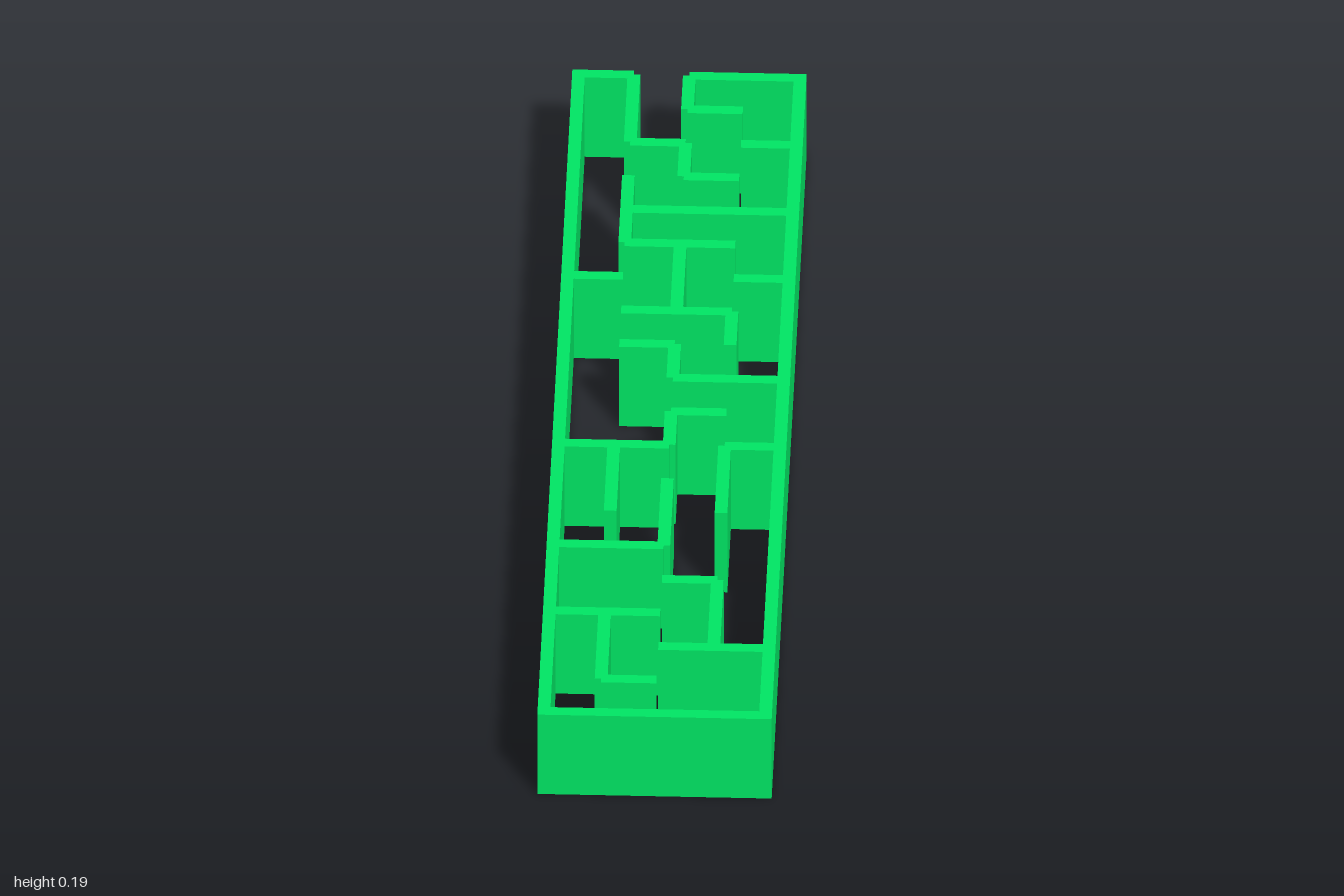
import * as THREE from 'three';

const PITCH = 0.104, WALL = 0.024, HEIGHT = 0.187;
const COLS = 4, ROWS = 19;

// Walls running across: [row, first column, last column]
const ACROSS = [
  [0, 0, 1], [0, 2, 4], [1, 2, 3], [2, 1, 2], [2, 3, 4], [3, 2, 3], [4, 1, 4],
  [5, 1, 3], [6, 0, 1], [6, 3, 4], [7, 1, 3], [8, 1, 2], [9, 2, 4], [10, 2, 3],
  [11, 0, 2], [11, 3, 4], [14, 0, 2], [15, 2, 3], [16, 0, 2], [17, 2, 4],
  [18, 1, 2], [19, 0, 4],
];

// Walls running lengthwise: [column, first row, last row]
const ALONG = [
  [0, 0, 19], [4, 0, 19],
  [1, 0, 2], [1, 3, 5], [1, 11, 13], [1, 16, 18],
  [2, 0, 1], [2, 2, 3], [2, 5, 7], [2, 8, 9], [2, 10, 11], [2, 12, 14],
  [3, 7, 8], [3, 11, 13], [3, 15, 17],
];

export function createModel() {
  const maze = new THREE.Group();
  maze.name = 'maze';
  const green = new THREE.MeshStandardMaterial({ color: 0x00e664 });
  green.name = 'brightGreen';

  const gridX = (c) => (c - COLS / 2) * PITCH;
  const gridZ = (r) => (r - ROWS / 2) * PITCH;

  function addWall(name, width, depth, x, z) {
    const wall = new THREE.Mesh(new THREE.BoxGeometry(width, HEIGHT, depth), green);
    wall.position.set(x, HEIGHT / 2, z);
    wall.name = name;
    maze.add(wall);
  }

  for (const [r, a, b] of ACROSS) {
    const name = r === 0 ? 'backWall' : r === ROWS ? 'frontWall' : 'crossWall';
    addWall(name, (b - a) * PITCH, WALL, (gridX(a) + gridX(b)) / 2, gridZ(r));
  }

  // The outer side walls run on to fill the corners
  for (const [c, a, b] of ALONG) {
    const outer = c === 0 || c === COLS;
    addWall(outer ? 'sideWall' : 'lengthWall', WALL, (b - a) * PITCH + (outer ? WALL : 0),
      gridX(c), (gridZ(a) + gridZ(b)) / 2);
  }
  return maze;
}
